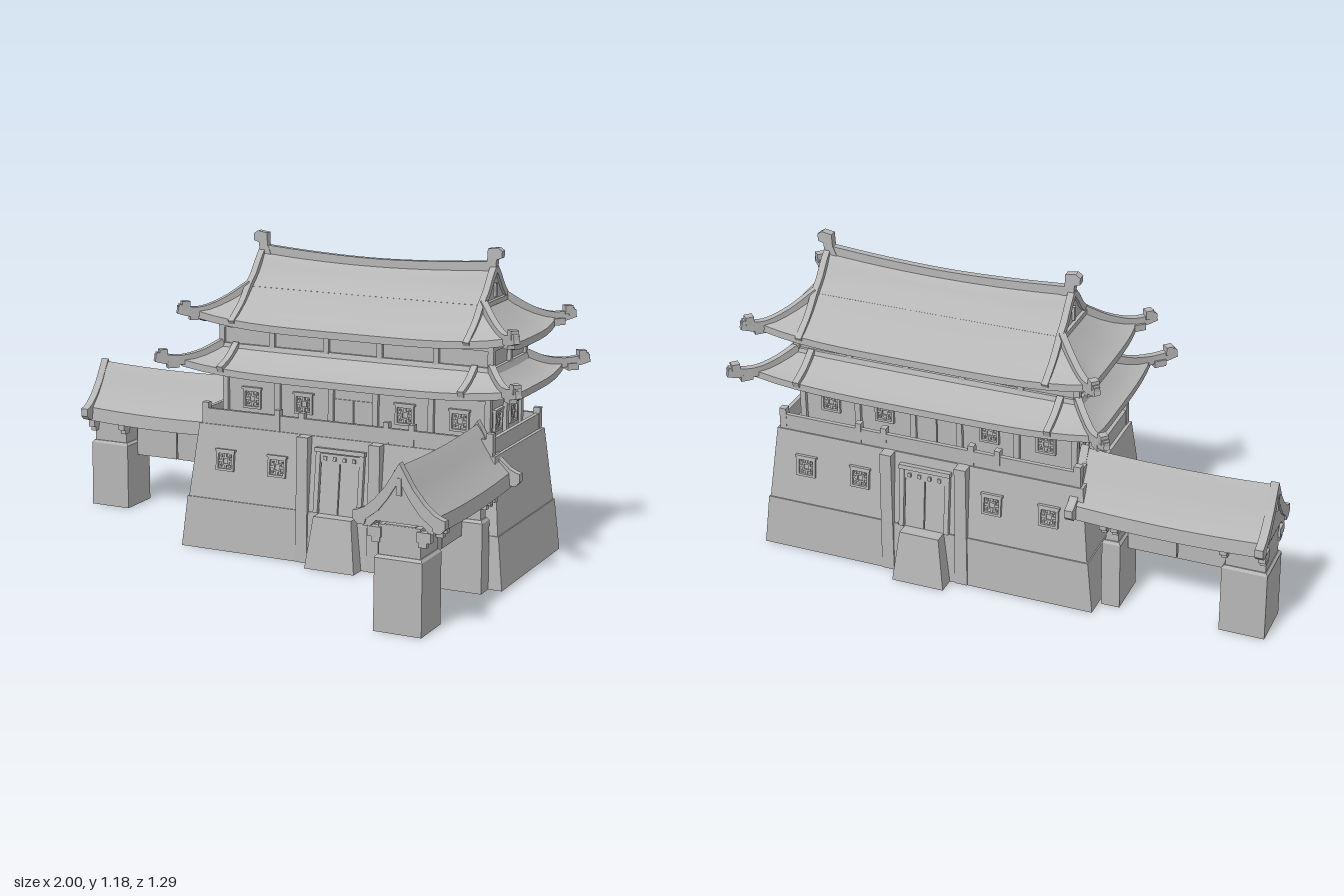
import * as THREE from 'three';
import { mergeGeometries, toCreasedNormals } from 'three/addons/utils/BufferGeometryUtils.js';

const stone = new THREE.MeshStandardMaterial({ color: 0xb6b6b6, side: THREE.DoubleSide });
stone.name = 'plain grey';

function add(parent, name, geo) {
  const mesh = new THREE.Mesh(geo, stone);
  mesh.name = name;
  parent.add(mesh);
  return mesh;
}

function group(parent, name) {
  const g = new THREE.Group();
  g.name = name;
  parent.add(g);
  return g;
}

// Move every vertex of a geometry by a rule
function warp(geo, rule, crease = 0.6) {
  const pos = geo.attributes.position, v = new THREE.Vector3();
  for (let i = 0; i < pos.count; i++) {
    rule(v.fromBufferAttribute(pos, i));
    pos.setXYZ(i, v.x, v.y, v.z);
  }
  return toCreasedNormals(geo, crease);
}

// Box given by centre x, bottom y, centre z and size
function box(parent, name, x, y, z, w, h, d) {
  return add(parent, name, new THREE.BoxGeometry(w, h, d).translate(x, y + h / 2, z));
}

// Sloping block with half sizes at bottom and top, optionally open below
function taper(parent, name, y0, hx0, hz0, y1, hx1, hz1, open = false) {
  const geo = new THREE.BoxGeometry(2, 1, 2);
  if (open) {
    const idx = Array.from(geo.index.array);
    geo.setIndex([...idx.slice(0, 18), ...idx.slice(24)]);
  }
  return add(parent, name, warp(geo, v => {
    const top = v.y > 0;
    v.set(v.x * (top ? hx1 : hx0), top ? y1 : y0, v.z * (top ? hz1 : hz0));
  }));
}

// Rectangular bar swept along a curve
function beam(parent, name, pts, w, h, n = 10) {
  const curve = new THREE.CatmullRomCurve3(pts.map(p => new THREE.Vector3(...p)));
  return add(parent, name, warp(new THREE.BoxGeometry(w, h, 1, 1, 1, n), v => {
    const t = v.z + 0.5, p = curve.getPoint(t), tan = curve.getTangent(t);
    const side = new THREE.Vector3(tan.z, 0, -tan.x).normalize();
    const up = new THREE.Vector3().crossVectors(tan, side);
    v.copy(p.addScaledVector(side, v.x).addScaledVector(up, v.y));
  }));
}

// Shape symmetric about x = 0, from its right-hand outline (top to bottom)
function mirrored(right) {
  const left = right.filter(p => p[0] > 0).map(([x, y]) => [-x, y]).reverse();
  return new THREE.Shape([...right, ...left].map(p => new THREE.Vector2(...p)));
}

// Four-sided roof skirt: profile rows are [0 inner .. 1 outer, height]
function hipSkirt(parent, name, inner, outer, rows, lift) {
  const m = rows.length - 1, sides = [];
  for (let k = 0; k < 4; k++) {
    const [a, b] = k % 2 ? [1, 0] : [0, 1];
    sides.push(warp(new THREE.PlaneGeometry(1, 1, 16, m), v => {
      const u = 2 * v.x, [t, y] = rows[Math.round((0.5 - v.y) * m)];
      const half = i => THREE.MathUtils.lerp(inner[i], outer[i], t);
      v.set(u * half(a), y + lift * t * Math.abs(u) ** 4, half(b));
    }).rotateY(k * Math.PI / 2));
  }
  return add(parent, name, mergeGeometries(sides));
}

// Square lattice window in a frame
function latticeWindow(parent, x, y, z, s, tilt = 0) {
  const g = group(parent, 'latticeWindow');
  g.position.set(x, y, z);
  g.rotation.x = tilt;
  const ring = (o, i) => {
    const sh = mirrored([[o, o], [o, -o]]);
    sh.holes.push(mirrored([[i, i], [i, -i]]));
    return new THREE.ExtrudeGeometry(sh, { depth: 0.012, bevelEnabled: false });
  };
  add(g, 'windowFrame', ring(s / 2, s * 0.38));
  add(g, 'latticeRing', ring(s * 0.21, s * 0.13).scale(1, 1, 0.6));
  for (const q of [-1, 1]) {
    box(g, 'latticeBar', q * s * 0.29, -s * 0.06, 0.003, s * 0.2, s * 0.12, 0.007);
    box(g, 'latticeBar', 0, q * s * 0.29 - s * 0.1, 0.003, s * 0.12, s * 0.2, 0.007);
    for (const r of [-1, 1]) box(g, 'latticeCorner', q * s * 0.25, r * s * 0.25 - s * 0.05, 0.003, s * 0.1, s * 0.1, 0.007);
  }
  box(g, 'windowHood', 0, s / 2, 0.006, s * 1.12, 0.008, 0.018);
}

// Roofed side gateway running along local z
function gateway(parent, name) {
  const g = group(parent, name), z0 = -0.075, z1 = 0.63, mid = (z0 + z1) / 2, half = (z1 - z0) / 2;
  for (const [a, b] of [[0.47, 0.637], [0.03, 0.1]]) {
    const c = (a + b) / 2, d = (b - a) / 2;
    taper(g, 'pillar', 0, 0.088, d, 0.258, 0.087, d - 0.001, true).position.z = c;
    taper(g, 'pillarCap', 0.258, 0.087, d, 0.268, 0.08, d - 0.008).position.z = c;
    box(g, 'pillarHead', 0, 0.262, c, 0.152, 0.11, 2 * d - 0.022);
    for (const sx of [-1, 1]) for (const e of [a + 0.012, b - 0.016]) {
      box(g, 'bracket', sx * 0.085, 0.31, e, 0.03, 0.02, 0.022);
      box(g, 'bracketArm', sx * 0.09, 0.328, e, 0.05, 0.035, 0.026);
    }
  }
  box(g, 'roofBeam', 0, 0.345, 0.28, 0.11, 0.03, 0.69);
  for (const z of [0.378, 0.192]) box(g, 'gateLeaf', 0, 0.207, z, 0.022, 0.145, 0.181);
  const roof = mirrored([[0, 0.572], [0.02, 0.545], [0.045, 0.502], [0.08, 0.452], [0.125, 0.405],
    [0.13, 0.352], [0.108, 0.352], [0.085, 0.375]]);
  const sag = v => { v.z += z0; v.y += 0.012 * ((v.z - mid) / half) ** 2 - 0.004; };
  add(g, 'gateRoof', warp(new THREE.ExtrudeGeometry(roof, { depth: z1 - z0, steps: 12, bevelEnabled: false }), sag));
  const board = mirrored([[0, 0.59], [0.02, 0.556], [0.05, 0.506], [0.09, 0.458], [0.125, 0.428], [0.15, 0.416],
    [0.166, 0.412], [0.166, 0.382], [0.15, 0.366], [0.125, 0.366], [0.12, 0.385], [0.075, 0.42], [0.04, 0.465], [0, 0.53]]);
  for (const z of [0.607, -0.082]) {
    add(g, 'bargeboard', new THREE.ExtrudeGeometry(board, { depth: 0.03, bevelEnabled: false }).translate(0, 0, z));
    box(g, 'gablePendant', 0, 0.48, z + 0.015, 0.018, 0.06, 0.036);
  }
  return g;
}

// Curved corner ridges ending in an upturned head
function hipRidges(parent, path) {
  const [tx, ty, tz] = path[path.length - 1];
  for (const sx of [-1, 1]) for (const sz of [-1, 1]) {
    beam(parent, 'hipRidge', path.map(([x, y, z]) => [sx * x, y, sz * z]), 0.024, 0.036, 14);
    const head = group(parent, 'ridgeHead');
    head.position.set(sx * (tx - 0.012), ty, sz * (tz - 0.012));
    head.rotation.y = Math.atan2(sx, sz);
    box(head, 'headCrest', 0, -0.005, -0.012, 0.03, 0.032, 0.03);
    box(head, 'headSnout', 0, -0.012, 0.004, 0.022, 0.022, 0.028);
    box(head, 'headChin', 0, -0.045, -0.05, 0.03, 0.025, 0.045);
  }
}

function baseStorey(parent) {
  const g = group(parent, 'fortifiedBase');
  taper(g, 'plinth', 0, 0.65, 0.302, 0.195, 0.629, 0.292, true);
  taper(g, 'baseWall', 0.19, 0.625, 0.288, 0.475, 0.595, 0.255);
  const tilt = -0.116;
  for (let k = 0; k < 2; k++) {
    const f = group(g, 'baseFace');
    f.rotation.y = k * Math.PI;
    for (const x of [-0.475, -0.258, 0.258, 0.475]) latticeWindow(f, x, 0.343, 0.269, 0.074, tilt);
    for (const s of [-1, 1]) {
      taper(f, 'pilaster', 0, 0.024, 0.04, 0.475, 0.022, 0.03).position.set(s * 0.145, 0, 0.265);
      for (const x of [0.17, 0.27]) box(f, 'parapetPost', s * x, 0.47, 0.238, 0.022, 0.085, 0.026);
    }
    // Doorway leaning with the wall
    const d = group(f, 'doorway');
    d.position.set(0, 0.195, 0.288);
    d.rotation.x = tilt;
    for (const s of [-1, 1]) {
      box(d, 'doorJamb', s * 0.088, 0, 0, 0.018, 0.235, 0.03);
      box(d, 'doorLeaf', s * 0.039, 0, 0, 0.074, 0.19, 0.014);
      for (const x of [0.02, 0.058]) box(d, 'doorStud', s * x, 0.2, 0.012, 0.012, 0.014, 0.012);
    }
    box(d, 'doorRail', 0, 0.19, 0, 0.16, 0.034, 0.022);
    box(d, 'doorLintel', 0, 0.228, 0.003, 0.2, 0.016, 0.036);
    taper(f, 'doorRamp', 0, 0.1, 0.09, 0.195, 0.076, 0.065, true).position.z = 0.277;
    box(f, 'parapet', 0, 0.47, 0.242, 1.16, 0.064, 0.016);
  }
  for (const s of [-1, 1]) {
    box(g, 'endParapet', s * 0.574, 0.47, 0, 0.016, 0.064, 0.49);
    for (const z of [-0.238, 0.238]) box(g, 'cornerPost', s * 0.572, 0.47, z, 0.026, 0.086, 0.026);
  }
}

function upperStoreys(parent) {
  const g = group(parent, 'upperStoreys');
  taper(g, 'galleryWall', 0.47, 0.53, 0.155, 0.69, 0.53, 0.155);
  taper(g, 'galleryLintel', 0.648, 0.536, 0.161, 0.672, 0.536, 0.161);
  taper(g, 'atticWall', 0.67, 0.54, 0.163, 0.87, 0.54, 0.163);
  taper(g, 'atticLintel', 0.835, 0.552, 0.175, 0.86, 0.552, 0.175);
  taper(g, 'atticSill', 0.745, 0.56, 0.184, 0.775, 0.552, 0.174);
  for (const s of [-1, 1]) {
    for (const x of [-0.53, -0.31, -0.09, 0.09, 0.31, 0.53])
      box(g, 'galleryColumn', x, 0.47, s * 0.158, 0.022, 0.2, 0.022);
    for (const x of [-0.54, -0.33, -0.108, 0.108, 0.33, 0.54])
      box(g, 'atticColumn', x, 0.76, s * 0.165, 0.022, 0.09, 0.022);
    for (const q of [-1, 1]) box(g, 'galleryDoor', q * 0.04, 0.475, s * 0.156, 0.076, 0.125, 0.008);
    box(g, 'endGalleryColumn', s * 0.533, 0.47, 0, 0.022, 0.2, 0.026);
    box(g, 'endAtticColumn', s * 0.543, 0.76, 0, 0.022, 0.09, 0.022);
    const front = group(g, 'galleryFace'), end = group(g, 'galleryEnd');
    front.rotation.y = s > 0 ? 0 : Math.PI;
    end.rotation.y = s * Math.PI / 2;
    for (const x of [-0.42, -0.205, 0.205, 0.42]) latticeWindow(front, x, 0.566, 0.154, 0.074);
    for (const x of [-0.076, 0.076]) latticeWindow(end, x, 0.566, 0.529, 0.074);
  }
  // Lower skirt roof
  hipSkirt(g, 'lowerRoof', [0.54, 0.165], [0.647, 0.3],
    [[0, 0.768], [0.25, 0.742], [0.5, 0.72], [0.75, 0.703], [1, 0.693], [1, 0.667], [0.85, 0.667], [0.1, 0.69]], 0.03);
  hipRidges(g, [[0.54, 0.772, 0.168], [0.59, 0.738, 0.23], [0.645, 0.722, 0.298], [0.69, 0.727, 0.338], [0.72, 0.738, 0.366]]);
  for (const sx of [-1, 1]) for (const sz of [-1, 1])
    beam(g, 'slopeRidge', [[sx * 0.48, 0.772, sz * 0.17], [sx * 0.48, 0.728, sz * 0.235], [sx * 0.48, 0.7, sz * 0.308]], 0.024, 0.024);
}

function mainRoof(parent) {
  const g = group(parent, 'mainRoof');
  g.position.set(0.006, 0, -0.015);
  hipSkirt(g, 'hippedSkirt', [0.47, 0.11], [0.62, 0.26],
    [[0, 0.985], [0.2, 0.952], [0.4, 0.924], [0.6, 0.9], [0.8, 0.88], [1, 0.867], [1, 0.84], [0.85, 0.838], [0.3, 0.872]], 0.035);
  // Saddle-backed gable top
  const gable = mirrored([[0, 1.105], [0.015, 1.095], [0.035, 1.062], [0.06, 1.03], [0.085, 1.006], [0.112, 0.984], [0.1, 0.95]]);
  add(g, 'gableRoof', warp(new THREE.ExtrudeGeometry(gable, { depth: 0.94, steps: 14, bevelEnabled: false })
    .translate(0, 0, -0.47).rotateY(Math.PI / 2), v => {
    v.y -= 0.022 * (1 - (v.x / 0.47) ** 2) * Math.max(0, (v.y - 0.98) / 0.125);
  }));
  beam(g, 'topRidge', [[-0.475, 1.113, 0], [-0.24, 1.097, 0], [0, 1.09, 0], [0.24, 1.097, 0], [0.475, 1.113, 0]], 0.024, 0.032, 16);
  const finial = [[-0.04, 1.09], [0.008, 1.09], [0.012, 1.136], [0.032, 1.142], [0.034, 1.168], [0.016, 1.18], [-0.022, 1.174], [-0.024, 1.13]];
  for (const s of [-1, 1]) {
    const geo = new THREE.ExtrudeGeometry(new THREE.Shape(finial.map(p => new THREE.Vector2(...p))), { depth: 0.028, bevelEnabled: false });
    const f = add(g, 'ridgeFinial', geo.translate(0.468, 0, -0.014));
    f.rotation.y = s > 0 ? 0 : Math.PI;
    box(g, 'gablePendant', s * 0.472, 1.0, 0, 0.014, 0.05, 0.016);
    box(g, 'gableSill', s * 0.472, 0.974, 0, 0.022, 0.018, 0.21);
    for (const sz of [-1, 1])
      beam(g, 'gableRidge', [[0, 1.106], [0.035, 1.07], [0.075, 1.021], [0.115, 0.988], [0.175, 0.926], [0.235, 0.884], [0.262, 0.866]]
        .map(([z, y]) => [s * 0.468, y, sz * z]), 0.024, 0.024, 16);
  }
  hipRidges(g, [[0.468, 0.988, 0.108], [0.535, 0.932, 0.175], [0.6, 0.9, 0.24], [0.64, 0.9, 0.275], [0.672, 0.912, 0.302]]);
}

export function createModel() {
  const model = new THREE.Group();
  model.name = 'gatehouse';
  const hall = group(model, 'mainHall');
  hall.position.set(0.267, 0, -0.27);
  baseStorey(hall);
  upperStoreys(hall);
  mainRoof(hall);
  gateway(model, 'frontGateway').position.set(0.777, 0, 0);
  const side = gateway(model, 'sideGateway');
  side.position.set(-0.363, 0, -0.418);
  side.rotation.y = -Math.PI / 2;
  return model;
}
